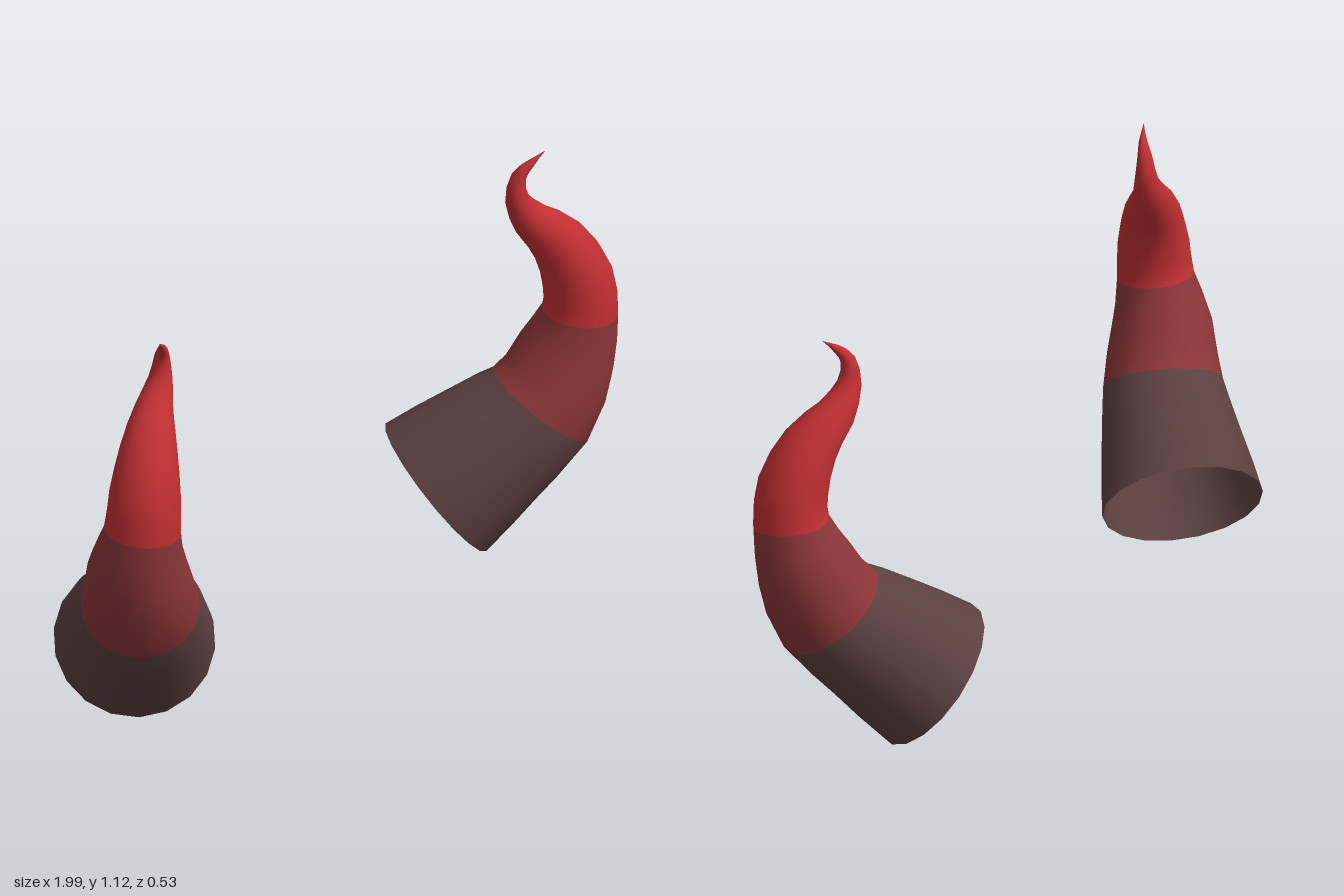
import * as THREE from 'three';

// Centreline points and radius of the horn on the +x side: x, y, z, r
const SECTIONS = [
  [0.61, 0.16, -0.085, 0.21],
  [0.715, 0.275, 0.015, 0.182],
  [0.81, 0.38, 0.1, 0.155],
  [0.868, 0.52, 0.14, 0.13],
  [0.885, 0.64, 0.17, 0.1],
  [0.875, 0.74, 0.17, 0.093],
  [0.83, 0.845, 0.145, 0.075],
  [0.765, 0.92, 0.108, 0.052],
  [0.722, 0.99, 0.095, 0.032],
  [0.722, 1.055, 0.1, 0.02],
  [0.745, 1.09, 0.12, 0.011],
  [0.78, 1.12, 0.14, 0.0005],
];
const SIDES = 18;
const STEPS = 2; // rings per section
const BANDS = [0, 2, 4, SECTIONS.length - 1]; // sections where the colour changes

// Open tapered tube; side is 1 or -1 for the mirrored horn
function hornGeometry(side) {
  const path = new THREE.CatmullRomCurve3(
    SECTIONS.map(([x, y, z]) => new THREE.Vector3(x * side, y, z)), false, 'centripetal');
  const radii = new THREE.SplineCurve(SECTIONS.map((s, i) => new THREE.Vector2(i, s[3])));
  const acrossPlane = new THREE.Vector3(0.7 * side, 0, -0.7);
  const rings = (SECTIONS.length - 1) * STEPS;
  const positions = [];
  const indices = [];

  for (let i = 0; i <= rings; i++) {
    const t = i / rings;
    const centre = path.getPoint(t);
    const tangent = path.getTangent(t);
    const a = acrossPlane.clone().cross(tangent).normalize();
    const b = tangent.clone().cross(a);
    const r = radii.getPoint(t).y;
    for (let j = 0; j < SIDES; j++) {
      const angle = (j / SIDES) * Math.PI * 2;
      const p = centre.clone()
        .addScaledVector(a, Math.cos(angle) * r)
        .addScaledVector(b, Math.sin(angle) * r);
      positions.push(p.x, p.y, p.z);
    }
  }
  for (let i = 0; i < rings; i++) {
    for (let j = 0; j < SIDES; j++) {
      const k = (j + 1) % SIDES;
      const p = i * SIDES + j, q = i * SIDES + k;
      indices.push(p, q, q + SIDES, p, q + SIDES, p + SIDES);
    }
  }

  const geometry = new THREE.BufferGeometry();
  geometry.setAttribute('position', new THREE.Float32BufferAttribute(positions, 3));
  geometry.setIndex(indices);
  geometry.computeVertexNormals();
  // One colour group per band
  const perSection = STEPS * SIDES * 6;
  for (let n = 0; n < 3; n++) {
    geometry.addGroup(BANDS[n] * perSection, (BANDS[n + 1] - BANDS[n]) * perSection, n);
  }
  return geometry;
}

export function createModel() {
  const material = (name, color) => {
    const m = new THREE.MeshStandardMaterial({ color, side: THREE.DoubleSide });
    m.name = name;
    return m;
  };
  const materials = [
    material('dark brown', 0x5c4040),
    material('dull red', 0x8b3538),
    material('bright red', 0xc02f32),
  ];

  const model = new THREE.Group();
  model.name = 'hornPair';
  for (const side of [1, -1]) {
    const horn = new THREE.Mesh(hornGeometry(side), materials);
    horn.name = side > 0 ? 'leftHorn' : 'rightHorn';
    model.add(horn);
  }
  return model;
}
